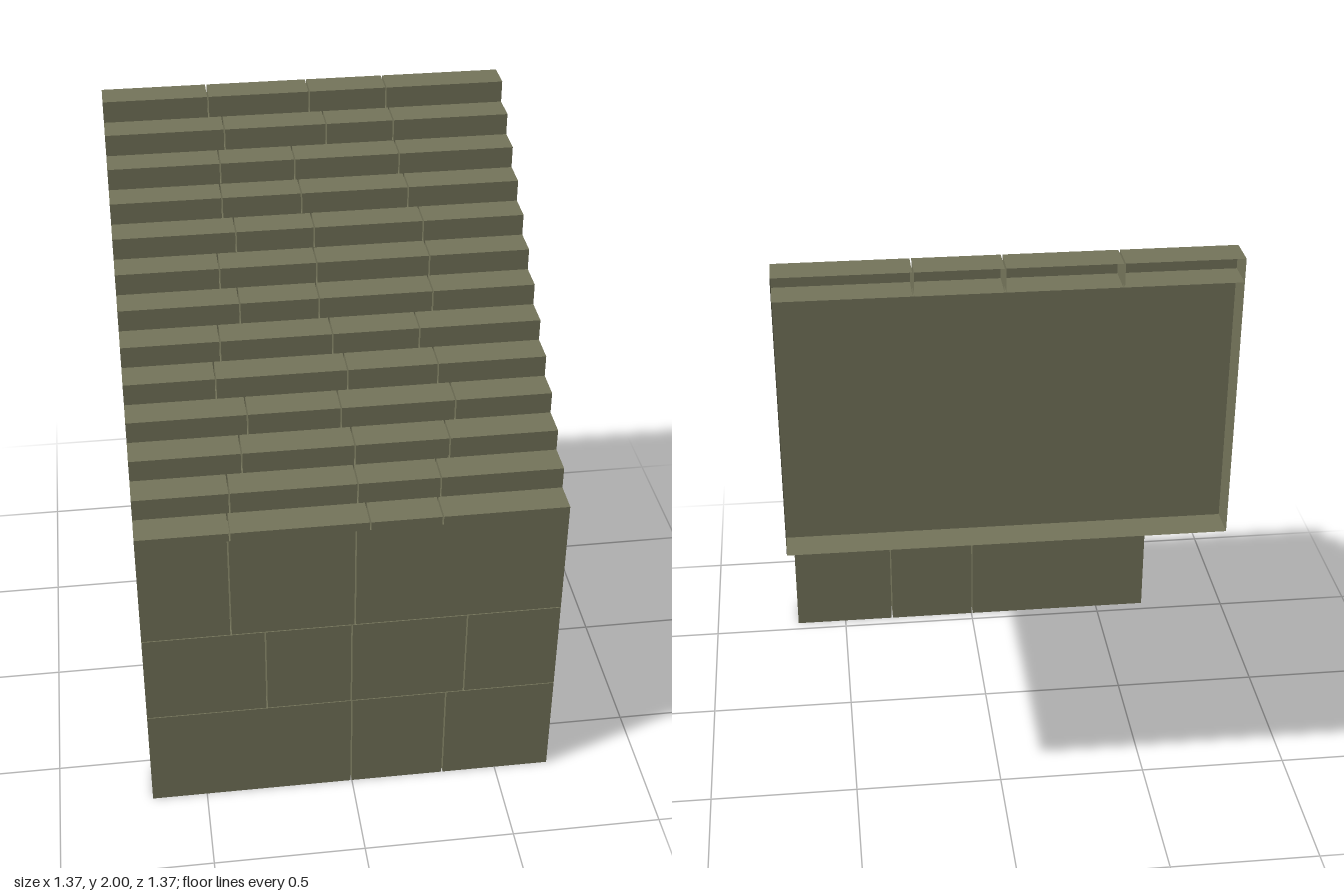
import * as THREE from 'three';

const stone = new THREE.MeshStandardMaterial({ color: 0x75755b, side: THREE.DoubleSide });
stone.name = 'olive stone';

const HALF = 0.685;          // half width and half depth
const STEPS = 13;
const TREAD = (2 * HALF) / STEPS;
const RISE = 0.0742;
const BASE = 1.08;           // underside of the stair block
const GAP = 0.005;           // joint between neighbouring bricks
const BOTTOM = 3, BACK = 5;  // box side numbers

// Box between limits, optionally leaving one side open
function block(name, [x0, x1], [y0, y1], [z0, z1], openSide = -1) {
  const geo = new THREE.BoxGeometry(x1 - x0, y1 - y0, z1 - z0);
  if (openSide >= 0) {
    const index = Array.from(geo.index.array);
    index.splice(openSide * 6, 6);
    geo.setIndex(index);
    geo.clearGroups();
  }
  geo.translate((x0 + x1) / 2, (y0 + y1) / 2, (z0 + z1) / 2);
  const mesh = new THREE.Mesh(geo, stone);
  mesh.name = name;
  return mesh;
}

// Row of bricks across the full width, split at the given joints
function course(name, joints, y, z, openSide) {
  const row = new THREE.Group();
  row.name = name;
  const ends = [-HALF, ...joints, HALF];
  for (let i = 0; i < ends.length - 1; i++) {
    const x0 = ends[i] + (i > 0 ? GAP / 2 : 0);
    const x1 = ends[i + 1] - (i < ends.length - 2 ? GAP / 2 : 0);
    row.add(block('brick', [x0, x1], y, z, openSide));
  }
  return row;
}

export function createModel() {
  const model = new THREE.Group();
  model.name = 'brickStairs';

  // Front wall of three tall courses, open underneath
  const wallZ = [0.54, HALF];
  model.add(
    course('lowerWallCourse', [-0.003, 0.315], [0, 0.369], wallZ, BOTTOM),
    course('middleWallCourse', [-0.287, -0.005, 0.375], [0.372, 0.699], wallZ),
    course('upperWallCourse', [-0.397, 0.005], [0.702, BASE], wallZ)
  );

  // Brick joints of each step, from the lowest up
  const joints = [
    [-0.39, 0.05, 0.28], [-0.38, 0.025, 0.29], [-0.33, 0.03, 0.335],
    [-0.3, 0, 0.37], [-0.39, 0.035, 0.33], [-0.365, 0, 0.285],
    [-0.29, -0.03, 0.345], [-0.345, -0.025, 0.35], [-0.28, -0.02, 0.345],
    [-0.315, -0.05, 0.31], [-0.31, -0.06, 0.295], [-0.285, 0.06, 0.29],
    [-0.33, 0.015, 0.28],
  ];

  // Slab carrying the stair columns
  const slabTop = 1.14;
  model.add(block('baseSlab', [-HALF, HALF], [BASE, 1.11], [-HALF + TREAD, HALF - TREAD]));

  const split = (i) => (i >= 8 && i <= 11 ? 0.0015 : 0);
  for (let i = 0; i < STEPS; i++) {
    const front = HALF - i * TREAD, back = front - TREAD;
    const top = 2 - (STEPS - 1 - i) * RISE;
    const last = i === STEPS - 1;
    // Tread bricks; the top row is open at the back
    model.add(course('step', joints[i], [i ? top - RISE : BASE, top], [back, front], last ? BACK : -1));
    // Supporting column, with narrow slits between the taller ones
    if (i > 1) {
      const y = [last ? BASE : 1.11, top - RISE];
      const solidTo = Math.min(slabTop, y[1]);
      if (last) {
        model.add(block('rearColumn', [-HALF, HALF], y, [back, front], BACK));
      } else {
        model.add(block('columnFoot', [-HALF, HALF], [y[0], solidTo], [back, front]));
        if (y[1] > solidTo) {
          model.add(block('column', [-HALF, HALF], [solidTo, y[1]],
            [back + split(i + 1), front - split(i)]));
        }
      }
    }
  }
  return model;
}
